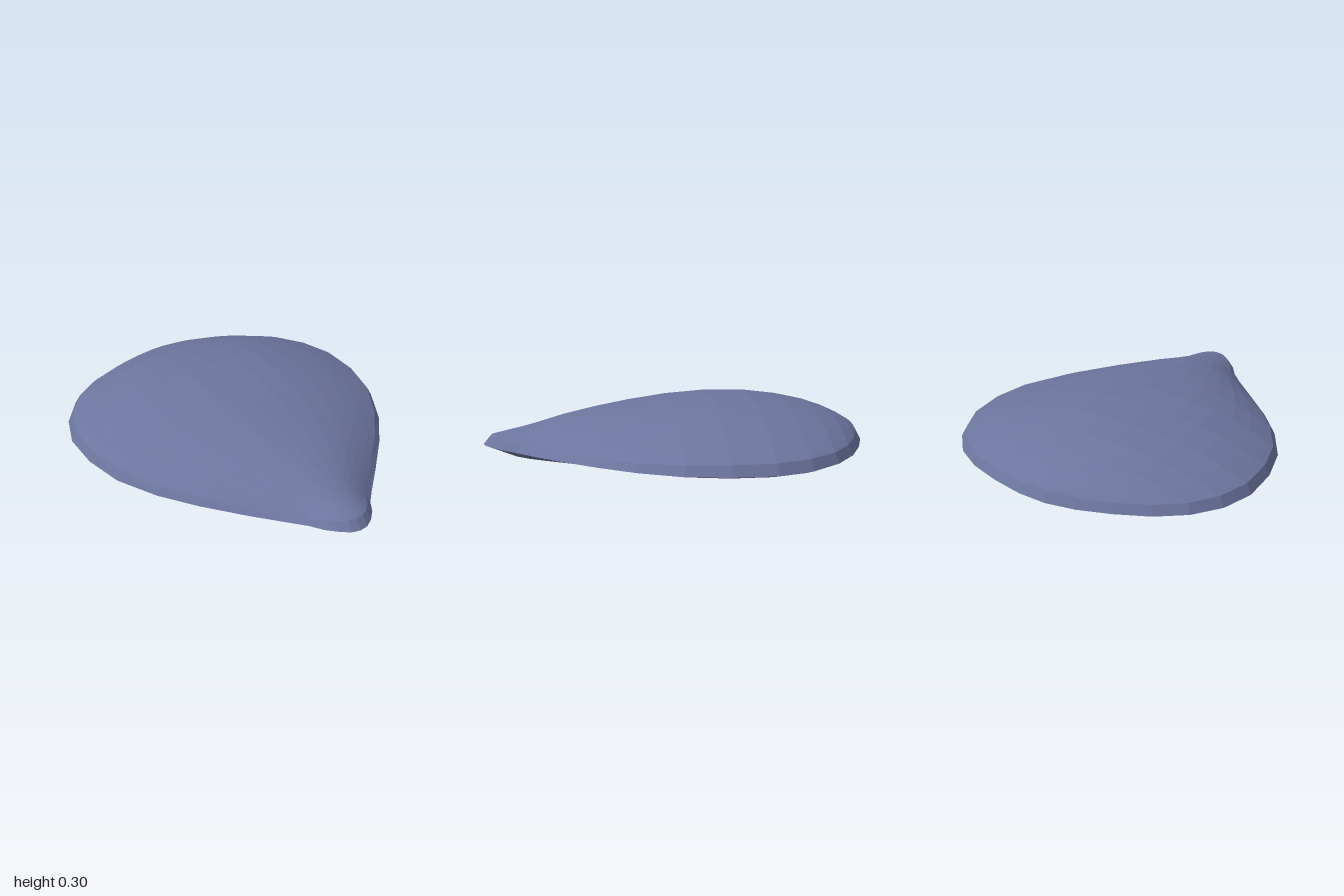
import * as THREE from 'three';

// Stations from beak to far edge: [along, half width, crest, rim top, rim middle, rim bottom]
const STATIONS = [
  [1.22, 0, .1, .1, .05, .03], [1.21, .05, .104, .098, .05, .028], [1.175, .1, .11, .092, .05, .018],
  [1.115, .155, .124, .078, .045, .005], [1.04, .2, .14, .068, .04, 0], [.96, .27, .158, .065, .037, .004],
  [.8, .42, .197, .07, .037, .017], [.6, .6, .232, .08, .042, .027], [.4, .75, .26, .09, .045, .03],
  [.165, .87, .286, .1, .047, .03], [-.075, .92, .3, .108, .05, .03], [-.315, .915, .295, .11, .05, .03],
  [-.51, .845, .272, .112, .053, .03], [-.667, .725, .24, .115, .06, .033], [-.78, .563, .205, .117, .063, .035],
  [-.86, .37, .17, .118, .065, .035], [-.915, .177, .138, .118, .065, .035], [-.935, 0, .118, .118, .065, .035],
];
const POLE = -0.08;     // centre the rim is inset toward
const ACROSS = 14;      // strips from side to side
const THICKNESS = 0.09;

function createShell() {
  const pos = [], index = [];
  const cols = ACROSS + 1;

  // Shell axis is turned 33 degrees from the front
  const add = (u, v, y) => {
    pos.push(.064 + .545 * u + .839 * v, y, -.042 + .839 * u - .545 * v);
    return pos.length / 3 - 1;
  };
  const quad = (a, b, c, d) => index.push(a, b, c, a, c, d);

  // A domed sheet of arched cross-sections; returns its edge loop
  const sheet = (inset, rimOf, crestOf, flip) => {
    const grid = STATIONS.map((s) => {
      const rim = rimOf(s), crest = crestOf(s);
      return Array.from({ length: cols }, (_, c) => {
        const k = Math.sin((c / ACROSS - .5) * Math.PI * .8) / Math.sin(Math.PI * .4);
        return add(POLE + (s[0] - POLE) * inset, s[1] * k * inset,
          rim + (crest - rim) * (1 - Math.pow(Math.abs(k), 2.1)));
      });
    });
    for (let r = 0; r < grid.length - 1; r++) {
      for (let c = 0; c < ACROSS; c++) {
        const a = grid[r][c], b = grid[r][c + 1], d = grid[r + 1][c], e = grid[r + 1][c + 1];
        if (flip) quad(a, d, e, b); else quad(a, b, e, d);
      }
    }
    return [...grid.map((row) => row[ACROSS]), ...grid.slice(1, -1).reverse().map((row) => row[0])];
  };

  // Outer dome, widest line of the rim, shallow hollow underneath
  const top = sheet(.968, (s) => s[3], (s) => s[2], false);
  const middle = [
    ...STATIONS.map((s) => add(s[0], s[1], s[4])),
    ...STATIONS.slice(1, -1).reverse().map((s) => add(s[0], -s[1], s[4])),
  ];
  const bottom = sheet(.93, (s) => s[5], (s) => Math.max(s[5], s[2] - THICKNESS), true);

  // Rim walls join the three loops
  const join = (upper, lower) => upper.forEach((a, i) => {
    const j = (i + 1) % upper.length;
    quad(a, lower[i], lower[j], upper[j]);
  });
  join(top, middle);
  join(middle, bottom);

  const geo = new THREE.BufferGeometry();
  geo.setAttribute('position', new THREE.Float32BufferAttribute(pos, 3));
  geo.setIndex(index);
  geo.computeVertexNormals();
  return geo;
}

export function createModel() {
  const group = new THREE.Group();
  group.name = 'seashell';
  const material = new THREE.MeshStandardMaterial({ color: 0x6c759e, flatShading: true });
  const shell = new THREE.Mesh(createShell(), material);
  shell.name = 'shellHalf';
  group.add(shell);
  return group;
}
